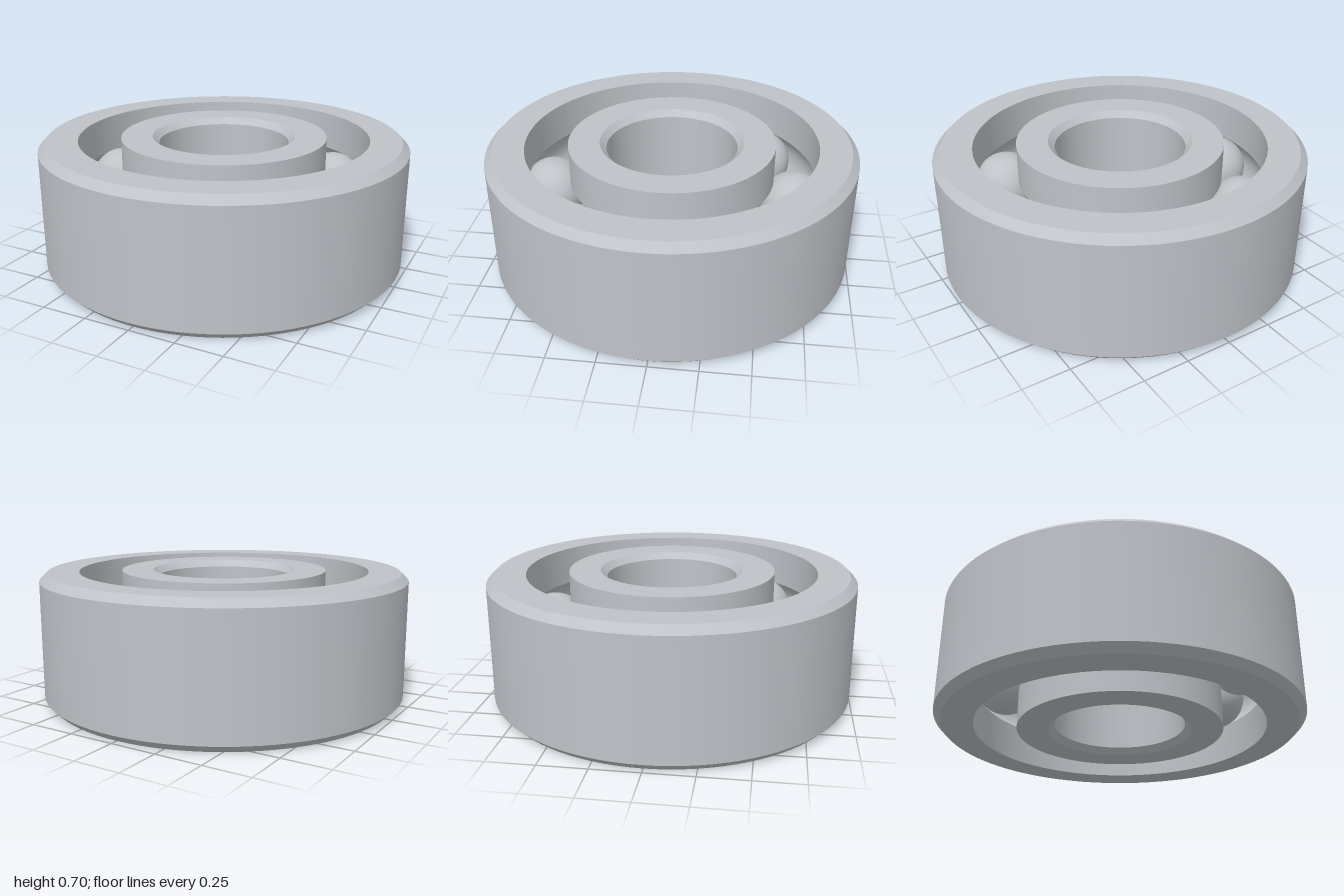
import * as THREE from 'three';
import { toCreasedNormals } from 'three/addons/utils/BufferGeometryUtils.js';

const H = 0.705;        // bearing height
const MID = H / 2;      // height of the ball centres
const PITCH = 0.675;    // radius of the circle of ball centres
const BALL_R = 0.18;
const GROOVE_R = 0.182;
const BALLS = 8;

// Raceway arc between two angles, measured around a ball centre
function groove(from, to, steps = 14) {
  return Array.from({ length: steps + 1 }, (_, i) => {
    const a = from + (to - from) * i / steps;
    return [PITCH + GROOVE_R * Math.cos(a), MID + GROOVE_R * Math.sin(a)];
  });
}

// Revolved ring from a closed counter-clockwise profile
function ring(name, profile, material) {
  const points = [...profile, profile[0]].map(([x, y]) => new THREE.Vector2(x, y));
  const mesh = new THREE.Mesh(toCreasedNormals(new THREE.LatheGeometry(points, 96), 0.5), material);
  mesh.name = name;
  return mesh;
}

export function createModel() {
  const group = new THREE.Group();
  group.name = 'ballBearing';
  const steel = new THREE.MeshStandardMaterial({ color: 0xbfc3c8 });
  steel.name = 'steel';

  // Outer race: chamfered outside, grooved inside
  const outerR = 0.79;
  const a = Math.acos((outerR - PITCH) / GROOVE_R);
  group.add(ring('outerRace', [
    [outerR, 0], [0.96, 0], [1, 0.04], [1, H - 0.04], [0.96, H], [outerR, H],
    ...groove(a, -a),
  ], steel));

  // Inner race: grooved outside, chamfered bore
  const innerR = 0.56;
  const b = Math.acos((innerR - PITCH) / GROOVE_R);
  group.add(ring('innerRace', [
    [0.39, 0], [innerR, 0],
    ...groove(2 * Math.PI - b, b),
    [innerR, H], [0.39, H], [0.355, H - 0.035], [0.355, 0.035],
  ], steel));

  // Balls
  const ballGeometry = new THREE.SphereGeometry(BALL_R, 36, 24);
  for (let i = 0; i < BALLS; i++) {
    const t = i * 2 * Math.PI / BALLS;
    const ball = new THREE.Mesh(ballGeometry, steel);
    ball.name = `ball${i + 1}`;
    ball.position.set(PITCH * Math.cos(t), MID, PITCH * Math.sin(t));
    group.add(ball);
  }
  return group;
}
